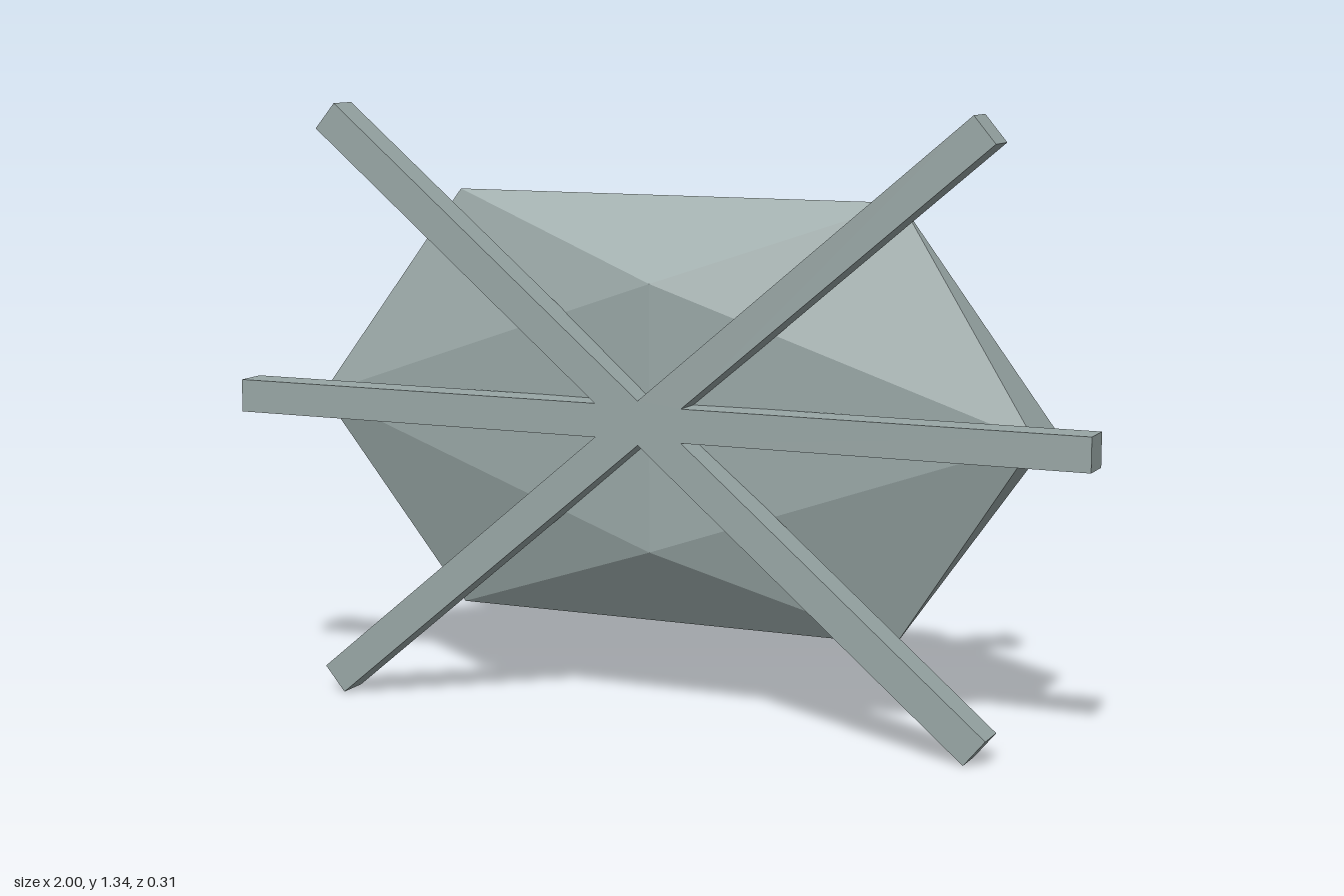
import * as THREE from 'three';

const CENTER_Y = 0.672;

export function createModel() {
  const model = new THREE.Group();
  const grey = new THREE.MeshStandardMaterial({ color: 0x98a6a5 });
  grey.name = 'greenish grey';

  // Faceted body: a flattened icosahedron, flat-shaded by its own normals
  const bodyGeometry = new THREE.IcosahedronGeometry(1, 0);
  bodyGeometry.scale(1, 0.56, 0.149);
  const body = new THREE.Mesh(bodyGeometry, grey);
  body.name = 'body';
  body.position.set(0, CENTER_Y, -0.03);
  model.add(body);

  // Three crossed bars as one six-armed outline
  const half = 0.037;
  const angles = [0, 40, 140, 180, 220, 320].map(THREE.MathUtils.degToRad);
  const outline = [];
  angles.forEach((a, i) => {
    const c = Math.cos(a), s = Math.sin(a);
    // Two corners of the arm's square end
    outline.push(new THREE.Vector2(c + s * half, s - c * half));
    outline.push(new THREE.Vector2(c - s * half, s + c * half));
    // Notch where this arm meets the next one
    const next = i < 5 ? angles[i + 1] : angles[0] + Math.PI * 2;
    const mid = (a + next) / 2;
    const r = half / Math.sin((next - a) / 2);
    outline.push(new THREE.Vector2(Math.cos(mid) * r, Math.sin(mid) * r));
  });
  const legs = new THREE.Mesh(
    new THREE.ExtrudeGeometry(new THREE.Shape(outline), { depth: 0.075, bevelEnabled: false }),
    grey
  );
  legs.name = 'legs';
  legs.position.set(0, CENTER_Y, 0.082);
  model.add(legs);

  return model;
}
